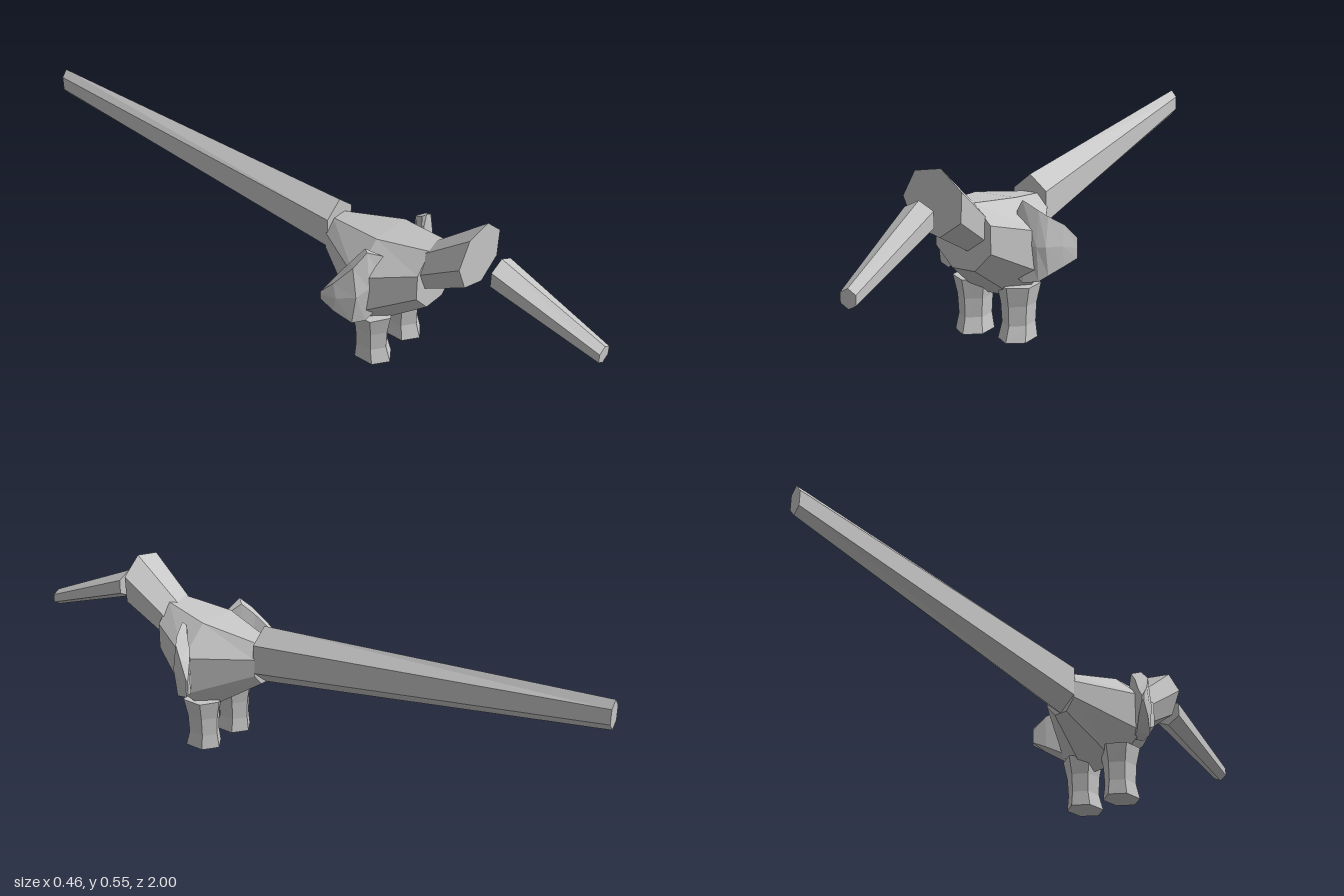
import * as THREE from 'three';

const grey = new THREE.MeshStandardMaterial({ color: 0xc6c6c6, flatShading: true });
grey.name = 'lightGrey';

// Faceted skin over a list of rings, closed at both ends
function loft(name, rings) {
  const pos = [];
  const tri = (a, b, c) => pos.push(...a, ...b, ...c);
  const n = rings[0].length;
  for (let k = 0; k < rings.length - 1; k++) {
    const a = rings[k], b = rings[k + 1];
    for (let i = 0; i < n; i++) {
      const j = (i + 1) % n;
      tri(a[i], a[j], b[j]);
      tri(a[i], b[j], b[i]);
    }
  }
  const first = rings[0], last = rings[rings.length - 1];
  for (let i = 1; i < n - 1; i++) {
    tri(first[0], first[i + 1], first[i]);
    tri(last[0], last[i], last[i + 1]);
  }
  const geo = new THREE.BufferGeometry();
  geo.setAttribute('position', new THREE.Float32BufferAttribute(pos, 3));
  geo.computeVertexNormals();
  const mesh = new THREE.Mesh(geo, grey);
  mesh.name = name;
  return mesh;
}

// Upright polygon facing z
function ringZ(n, startDeg, cx, cy, z, rx, ry) {
  return Array.from({ length: n }, (_, i) => {
    const a = THREE.MathUtils.degToRad(startDeg) + (i / n) * Math.PI * 2;
    return [cx + rx * Math.cos(a), cy + ry * Math.sin(a), z];
  });
}

// Level hexagon for the legs, with a corner to the front
function ringY(cx, y, cz, halfX, rz) {
  return Array.from({ length: 6 }, (_, i) => {
    const a = Math.PI / 2 + (i / 6) * Math.PI * 2;
    return [cx + (halfX / Math.cos(Math.PI / 6)) * Math.cos(a), y, cz - rz * Math.sin(a)];
  });
}

// Curved ear plate: columns of [distance from centre, front z, top y, bottom y, thickness]
function ear(name, side, columns) {
  const rings = columns.map(([d, z, top, bottom, t]) => {
    const x = side * d, backX = side * (d - t * 0.6);
    const rim = z - t * 0.3, back = z - t;
    return [
      [x, top, rim], [x, (top + bottom) / 2, z], [x, bottom, rim],
      [backX, bottom + 0.008, back], [backX, top - 0.008, back],
    ];
  });
  if (side < 0) rings.reverse();
  return loft(name, rings);
}

export function createModel() {
  const model = new THREE.Group();
  model.name = 'longTailedAnimal';

  // Octagonal barrel body
  const oct = (cy, z, hx, hy) => {
    const k = 1 / Math.cos(Math.PI / 8);
    return ringZ(8, 22.5, 0, cy, z, hx * k, hy * k);
  };
  model.add(loft('body', [
    oct(0.31, 0.11, 0.056, 0.065),
    oct(0.264, 0.305, 0.16, 0.147),
    oct(0.3325, 0.47, 0.09, 0.0975),
  ]));

  // Long tapering tail
  model.add(loft('tail', [
    ringZ(6, 90, -0.072, 0.45, -1, 0.021, 0.045),
    ringZ(6, 90, 0, 0.337, 0.115, 0.0635, 0.0925),
  ]));

  // Seven-sided head rising from the chest
  model.add(loft('head', [
    ringZ(7, 23, 0, 0.347, 0.44, 0.074, 0.074),
    ringZ(7, 23, 0.002, 0.46, 0.608, 0.098, 0.097),
  ]));

  // Trunk, set a little ahead of the head
  model.add(loft('trunk', [
    ringZ(6, 90, 0.004, 0.435, 0.675, 0.053, 0.045),
    ringZ(6, 90, 0.024, 0.313, 1, 0.028, 0.027),
  ]));

  // Ears swept outward and back
  model.add(ear('rightEar', -1, [
    [0.09, 0.352, 0.385, 0.215, 0.008],
    [0.145, 0.345, 0.42, 0.18, 0.035],
    [0.185, 0.33, 0.38, 0.186, 0.045],
    [0.214, 0.28, 0.322, 0.225, 0.03],
    [0.228, 0.237, 0.285, 0.258, 0.006],
  ]));
  model.add(ear('leftEar', 1, [
    [0.1, 0.352, 0.39, 0.192, 0.008],
    [0.115, 0.35, 0.42, 0.18, 0.014],
    [0.157, 0.342, 0.393, 0.186, 0.035],
    [0.18, 0.33, 0.375, 0.203, 0.045],
    [0.207, 0.284, 0.345, 0.223, 0.03],
    [0.228, 0.237, 0.3, 0.24, 0.006],
  ]));

  // Two flared hexagonal legs
  for (const side of [-1, 1]) {
    const shift = side > 0 ? 0.003 : 0;
    model.add(loft(side > 0 ? 'leftLeg' : 'rightLeg', [
      ringY(side * 0.0715 + shift, 0, 0.31, 0.0465, 0.065),
      ringY(side * 0.0725 + shift, 0.047, 0.305, 0.04, 0.054),
      ringY(side * 0.0725 + shift, 0.105, 0.305, 0.043, 0.056),
      ringY(side * 0.0735 + shift, 0.164, 0.305, 0.054, 0.067),
    ]));
  }
  return model;
}
